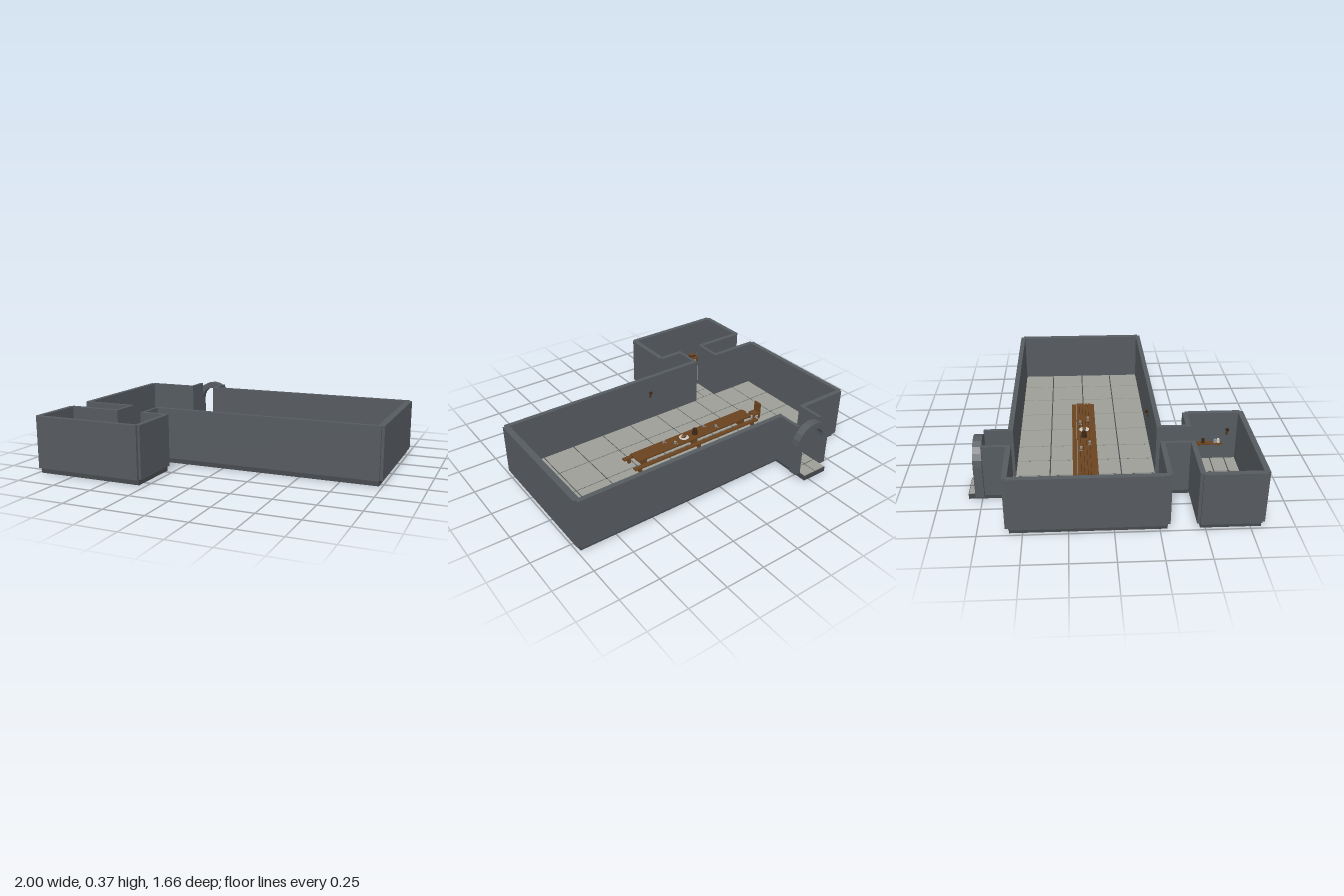
import * as THREE from 'three';

const mat = (name, color) => Object.assign(new THREE.MeshStandardMaterial({ color }), { name });

export function createModel() {
  const model = new THREE.Group();
  model.name = 'hall';
  const stone = mat('wall stone', 0x565b60);
  const mortar = mat('dark mortar', 0x464a4e);
  const tileMat = mat('pale floor stone', 0x9c9e97);
  const wood = mat('brown wood', 0x6b4420);
  const darkWood = mat('dark wood', 0x3a2614);
  const iron = mat('iron', 0x34383b);
  const pewter = mat('pewter', 0x8f9294);
  const ceramic = mat('white ceramic', 0xc9c8c2);

  const add = (parent, name, geo, material, x = 0, y = 0, z = 0) => {
    const m = new THREE.Mesh(geo, material);
    m.name = name;
    m.position.set(x, y, z);
    parent.add(m);
    return m;
  };
  // box given by its limits
  const box = (parent, name, material, x0, x1, y0, y1, z0, z1) =>
    add(parent, name, new THREE.BoxGeometry(x1 - x0, y1 - y0, z1 - z0), material,
      (x0 + x1) / 2, (y0 + y1) / 2, (z0 + z1) / 2);
  const cyl = (parent, name, material, r0, r1, h, x, y, z, n = 12) =>
    add(parent, name, new THREE.CylinderGeometry(r0, r1, h, n), material, x, y, z);
  const group = (name, x = 0, y = 0, z = 0) => {
    const g = new THREE.Group();
    g.name = name;
    g.position.set(x, y, z);
    model.add(g);
    return g;
  };

  // Tiled floors: a mortar slab with raised tiles between joint lines
  const F = 0.036, TOP = 0.355;
  const floor = (name, xs, zs) => {
    const g = group(name), j = 0.0035;
    box(g, 'slab', mortar, xs[0], xs.at(-1), 0, F - 0.004, zs[0], zs.at(-1));
    for (let i = 0; i < xs.length - 1; i++)
      for (let k = 0; k < zs.length - 1; k++)
        box(g, 'tile', tileMat, xs[i] + j, xs[i + 1] - j, F - 0.005, F, zs[k] + j, zs[k + 1] - j);
  };
  floor('hallFloor', [-0.98, -0.81, -0.64, -0.465, -0.295, -0.12, 0.1, 0.32, 0.545, 0.76, 0.98],
    [-0.573, -0.36, -0.14, 0.075, 0.292]);
  floor('kitchenFloor', [-0.98, -0.81, -0.64, -0.465, -0.295], [0.472, 0.55, 0.64, 0.73, 0.81]);
  floor('backPassageFloor', [-0.64, -0.555, -0.465], [-0.83, -0.735, -0.655, -0.573]);
  floor('frontPassageFloor', [-0.64, -0.555, -0.465], [0.292, 0.38, 0.472]);

  // Walls
  const walls = group('walls');
  const wall = (name, x0, x1, z0, z1) => box(walls, name, stone, x0, x1, 0.033, TOP, z0, z1);
  const D0 = -0.635, D1 = -0.47; // doorway limits
  wall('hallRightWall', -1, -0.968, -0.575, 0.29);
  wall('hallLeftWall', 0.96, 1, -0.575, 0.29);
  for (const [name, z0, z1] of [['hallBackWall', -0.595, -0.565], ['hallFrontWall', 0.278, 0.307]]) {
    wall(name, -0.985, D0, z0, z1);
    wall(name, D1, 0.983, z0, z1);
  }
  wall('kitchenRightWall', -1, -0.968, 0.47, 0.81);
  wall('kitchenLeftWall', -0.312, -0.28, 0.47, 0.81);
  wall('kitchenFrontWall', -0.985, -0.295, 0.796, 0.828);
  wall('kitchenBackWall', -0.985, D0, 0.453, 0.482);
  wall('kitchenBackWall', D1, -0.295, 0.453, 0.482);
  for (const [x0, x1] of [[-0.656, D0], [D1, -0.449]]) {
    wall('backPassageWall', x0, x1, -0.735, -0.57);
    wall('frontPassageWall', x0, x1, 0.295, 0.465);
  }

  // Stone archway at the back
  const R = 0.127, r = 0.085, spring = 0.238;
  const arch = new THREE.Shape();
  arch.moveTo(-R, 0.033);
  arch.lineTo(-r, 0.033);
  for (let i = 0; i <= 10; i++) {
    const a = Math.PI * (1 - i / 10);
    arch.lineTo(r * Math.cos(a), spring + r * Math.sin(a));
  }
  arch.lineTo(r, 0.033);
  arch.lineTo(R, 0.033);
  for (let i = 0; i <= 10; i++) {
    const a = Math.PI * i / 10;
    arch.lineTo(R * Math.cos(a), spring + R * Math.sin(a));
  }
  add(model, 'archway', new THREE.ExtrudeGeometry(arch, { depth: 0.052, bevelEnabled: false }),
    stone, -0.5525, 0, -0.785);

  // Long table with planks, trestles and benches
  const table = group('longTable');
  for (let i = 0; i < 5; i++) {
    const z = -0.19 + i * 0.0202;
    box(table, 'plank', wood, -0.58, 0.34, 0.098, 0.108, z, z + 0.0185);
  }
  box(table, 'underside', darkWood, -0.575, 0.335, 0.093, 0.099, -0.185, -0.095);
  for (const x of [-0.52, -0.12, 0.28])
    box(table, 'trestle', wood, x - 0.012, x + 0.012, F, 0.094, -0.175, -0.105);
  for (const z of [-0.207, -0.08]) {
    box(table, 'benchSeat', wood, -0.62, 0.385, 0.068, 0.078, z - 0.014, z + 0.014);
    for (const x of [-0.58, -0.12, 0.345])
      box(table, 'benchLeg', wood, x - 0.008, x + 0.008, F, 0.069, z - 0.011, z + 0.011);
  }

  // Chair at the head of the table
  const chair = group('chair', -0.655, 0, -0.142);
  box(chair, 'seat', wood, -0.03, 0.03, 0.076, 0.086, -0.028, 0.028);
  box(chair, 'backrest', wood, -0.03, -0.02, 0.086, 0.155, -0.028, 0.028);
  for (const x of [-0.024, 0.024])
    for (const z of [-0.022, 0.022])
      box(chair, 'leg', wood, x - 0.005, x + 0.005, F, 0.077, z - 0.005, z + 0.005);

  // Tableware
  const ware = group('tableware');
  cyl(ware, 'jug', darkWood, 0.014, 0.019, 0.04, -0.13, 0.128, -0.145);
  cyl(ware, 'platter', ceramic, 0.033, 0.025, 0.006, -0.043, 0.111, -0.143, 20);
  const roast = add(ware, 'roast', new THREE.SphereGeometry(0.015, 12, 8), wood, -0.043, 0.121, -0.143);
  roast.scale.set(1.4, 0.8, 0.8);
  for (const [x, z] of [[-0.29, -0.167], [-0.225, -0.112], [0.045, -0.167], [0.1, -0.115]]) {
    cyl(ware, 'goblet', pewter, 0.009, 0.006, 0.018, x, 0.119, z, 10);
    box(ware, 'knife', pewter, x - 0.016, x - 0.012, 0.107, 0.11, z - 0.012, z + 0.012);
  }

  // Kitchen stove with a cauldron
  const stove = group('stove', -0.908, 0, 0.737);
  box(stove, 'base', stone, -0.058, 0.058, F, 0.1, -0.047, 0.047);
  box(stove, 'hotplate', iron, -0.046, 0.046, 0.1, 0.104, -0.036, 0.036);
  add(stove, 'cauldron', new THREE.LatheGeometry(
    [[0.001, 0], [0.02, 0.003], [0.029, 0.018], [0.022, 0.034], [0.026, 0.038], [0.019, 0.036], [0.019, 0.026], [0.001, 0.026]]
      .map(p => new THREE.Vector2(...p)), 16), iron, 0, 0.104, 0);

  // Kitchen work table
  const work = group('workTable', -0.75, 0, 0.742);
  box(work, 'top', wood, -0.07, 0.07, 0.1, 0.11, -0.038, 0.038);
  for (const x of [-0.06, 0.06])
    for (const z of [-0.029, 0.029])
      box(work, 'leg', wood, x - 0.006, x + 0.006, F, 0.101, z - 0.006, z + 0.006);
  box(work, 'cuttingBoard', darkWood, -0.055, 0, 0.11, 0.115, -0.016, 0.016);
  box(work, 'loaf', wood, -0.045, -0.012, 0.115, 0.124, -0.008, 0.008);
  cyl(work, 'bowl', pewter, 0.017, 0.011, 0.014, 0.04, 0.117, 0.008, 14);
  cyl(work, 'pot', darkWood, 0.011, 0.012, 0.03, 0.032, 0.125, -0.026);

  // Kitchen wall shelf
  const shelf = group('shelf', -0.328, 0.15, 0.628);
  box(shelf, 'board', wood, -0.015, 0.016, 0, 0.009, -0.077, 0.077);
  for (const z of [-0.06, 0.06])
    box(shelf, 'bracket', wood, 0.004, 0.016, -0.02, 0, z - 0.005, z + 0.005);
  for (const [z, m, h] of [[-0.04, darkWood, 0.028], [0.035, pewter, 0.02], [0.055, ceramic, 0.024]])
    cyl(shelf, 'jar', m, 0.009, 0.011, h, 0, 0.009 + h / 2, z);

  // Wall torches
  const torch = (x, z, dx, dz) => {
    const g = group('torch', x, 0.225, z);
    box(g, 'bracket', iron, -0.007, 0.007, -0.012, 0, -0.007, 0.007);
    const shaft = cyl(g, 'shaft', wood, 0.009, 0.005, 0.04, dx * 0.004, 0, dz * 0.004, 8);
    shaft.rotation.set(dz * 0.25, 0, -dx * 0.25);
    cyl(g, 'head', darkWood, 0.012, 0.01, 0.012, dx * 0.009, 0.02, dz * 0.009, 8);
  };
  torch(-0.062, 0.271, 0, -1);
  torch(-0.319, 0.735, -1, 0);

  return model;
}
